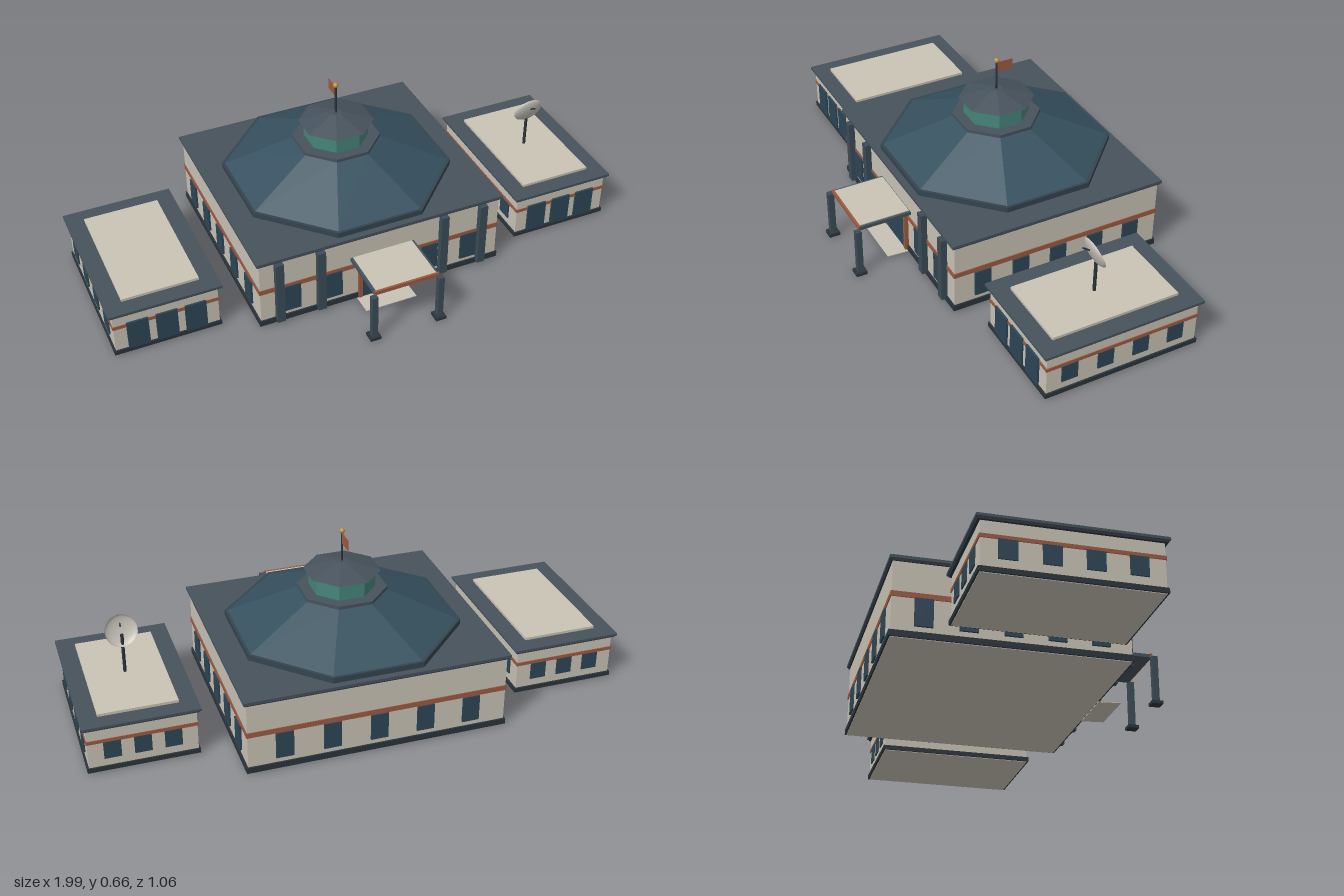
import * as THREE from 'three';

const mat = (color, extra = {}) => {
  const m = new THREE.MeshStandardMaterial(extra);
  m.color.set(color);
  return m;
};
const M = {
  wall: mat(0xc9c3b5), stripe: mat(0x9c5a42), slab: mat(0x46525c), dark: mat(0x2a343c),
  roof: mat(0x36505f, { flatShading: true }), cap: mat(0x46525c, { flatShading: true }),
  skirt: mat(0x34444f, { flatShading: true }), glass: mat(0x2d4656),
  lantern: mat(0x46857a, { flatShading: true }), gold: mat(0xb8923f),
  pillar: mat(0x3c4c57), dish: mat(0xc4c0b6, { side: THREE.DoubleSide }),
};

const add = (parent, name, geo, material, x, y, z) => {
  const m = new THREE.Mesh(geo, material);
  m.name = name;
  m.position.set(x, y, z);
  parent.add(m);
  return m;
};
// Box placed by its bottom and top heights
const box = (parent, name, material, w, d, y0, y1, x = 0, z = 0) =>
  add(parent, name, new THREE.BoxGeometry(w, y1 - y0, d), material, x, (y0 + y1) / 2, z);
// Octagon with flat sides on the axes, sized by its half widths
const octagon = (parent, name, material, bottom, top, y0, y1) => {
  const k = 1 / Math.cos(Math.PI / 8);
  const geo = new THREE.CylinderGeometry(top * k, bottom * k, y1 - y0, 8).rotateY(Math.PI / 8);
  return add(parent, name, geo, material, 0, (y0 + y1) / 2, 0);
};
const rod = (parent, name, material, r, y0, y1, x = 0, z = 0) =>
  add(parent, name, new THREE.CylinderGeometry(r, r, y1 - y0, 10), material, x, (y0 + y1) / 2, z);

// Walls with plinth, stripe and roof slab
function shell(g, w, d, wallTop, roofTop, baseTop, stripe, overhang) {
  box(g, 'walls', M.wall, w, d, 0.003, wallTop);
  box(g, 'plinth', M.dark, w + 0.012, d + 0.012, 0.005, baseTop);
  box(g, 'stripe', M.stripe, w + 0.006, d + 0.006, stripe[0], stripe[1]);
  box(g, 'roofSlab', M.slab, w + overhang, d + overhang, wallTop + 0.004, roofTop);
  box(g, 'roofSoffit', M.dark, w + overhang - 0.012, d + overhang - 0.012, wallTop - 0.003, wallTop + 0.004);
}

// Low wing with glazed front and flat roof panel
function wing(side) {
  const g = new THREE.Group();
  g.name = side > 0 ? 'leftWing' : 'rightWing';
  g.position.set(0.79 * side, 0, -0.06);
  shell(g, 0.38, 0.575, 0.177, 0.19, 0.022, [0.117, 0.13], 0.03);
  box(g, 'roofPanel', M.wall, 0.28, 0.48, 0.189, 0.2);
  for (const x of [-0.105, 0, 0.105]) {
    box(g, 'frontGlazing', M.glass, 0.078, 0.016, 0.02, 0.135, x, 0.287);
    box(g, 'backWindow', M.glass, 0.06, 0.012, 0.052, 0.118, x, -0.286);
  }
  for (const s of [-1, 1])
    for (let i = 0; i < 4; i++)
      box(g, 'sideWindow', M.glass, 0.012, 0.06, 0.052, 0.118, s * 0.189, (i - 1.5) * 0.135);
  return g;
}

function satelliteDish() {
  const g = new THREE.Group();
  g.name = 'satelliteDish';
  g.position.set(0.79, 0, -0.06);
  rod(g, 'dishPole', M.dark, 0.006, 0.2, 0.35);
  const bowl = add(g, 'dishBowl', new THREE.SphereGeometry(0.058, 24, 8, 0, Math.PI * 2, 0, Math.PI / 2), M.dish, 0, 0.362, 0.005);
  bowl.scale.y = 0.3;
  bowl.rotation.x = 1.92;
  const feed = add(g, 'dishFeed', new THREE.CylinderGeometry(0.003, 0.003, 0.045, 8), M.dark, 0, 0.385, 0.037);
  feed.rotation.x = 0.95;
  return g;
}

function mainHall() {
  const g = new THREE.Group();
  g.name = 'mainHall';
  g.position.z = -0.11;
  shell(g, 0.94, 0.816, 0.278, 0.293, 0.027, [0.147, 0.166], 0.022);
  for (let i = -2; i <= 2; i++) {
    box(g, 'backWindow', M.glass, 0.063, 0.016, 0.047, 0.147, i * 0.17, -0.407);
    for (const s of [-1, 1])
      box(g, 'sideWindow', M.glass, 0.016, 0.063, 0.047, 0.147, s * 0.47, i * 0.15);
  }
  for (const s of [-1, 1]) {
    for (const x of [0.19, 0.35])
      box(g, 'frontWindow', M.glass, 0.065, 0.014, 0.045, 0.155, s * x, 0.408);
    for (const x of [0.242, 0.4])
      box(g, 'pillar', M.pillar, 0.03, 0.026, 0.015, 0.275, s * x, 0.418);
    box(g, 'doorFrame', M.stripe, 0.014, 0.022, 0.01, 0.185, s * 0.088, 0.412);
  }
  box(g, 'doorLintel', M.stripe, 0.19, 0.022, 0.175, 0.187, 0, 0.412);
  for (const s of [-1, 1])
    box(g, 'door', M.glass, 0.08, 0.018, 0.01, 0.175, s * 0.0405, 0.411);

  // Tiered octagonal roof and lantern
  octagon(g, 'roofSkirt', M.skirt, 0.395, 0.395, 0.29, 0.314);
  octagon(g, 'mainRoof', M.roof, 0.385, 0.145, 0.314, 0.428);
  octagon(g, 'lanternRim', M.cap, 0.15, 0.15, 0.425, 0.438);
  octagon(g, 'lantern', M.lantern, 0.11, 0.11, 0.438, 0.505);
  octagon(g, 'lanternRoof', M.cap, 0.128, 0.022, 0.503, 0.536);
  rod(g, 'flagpole', M.dark, 0.004, 0.535, 0.648);
  add(g, 'finial', new THREE.SphereGeometry(0.01, 12, 8), M.gold, 0, 0.652, 0);
  box(g, 'flag', M.stripe, 0.004, 0.06, 0.605, 0.644, 0, -0.033);
  return g;
}

function portico() {
  const g = new THREE.Group();
  g.name = 'portico';
  box(g, 'canopyFrame', M.slab, 0.25, 0.2, 0.186, 0.199, 0, 0.4);
  box(g, 'canopyTop', M.wall, 0.232, 0.194, 0.198, 0.202, 0, 0.4);
  box(g, 'canopyFascia', M.stripe, 0.25, 0.008, 0.188, 0.203, 0, 0.499);
  for (const s of [-1, 1]) {
    box(g, 'porticoPost', M.pillar, 0.022, 0.022, 0.005, 0.188, s * 0.128, 0.508);
    box(g, 'postFoot', M.dark, 0.04, 0.042, 0, 0.012, s * 0.128, 0.508);
  }
  const ramp = box(g, 'entrancePath', M.wall, 0.2, 0.085, 0.004, 0.007, 0, 0.343);
  ramp.rotation.x = -0.05;
  return g;
}

export function createModel() {
  const model = new THREE.Group();
  model.name = 'building';
  model.add(mainHall(), portico(), wing(1), wing(-1), satelliteDish());
  return model;
}
